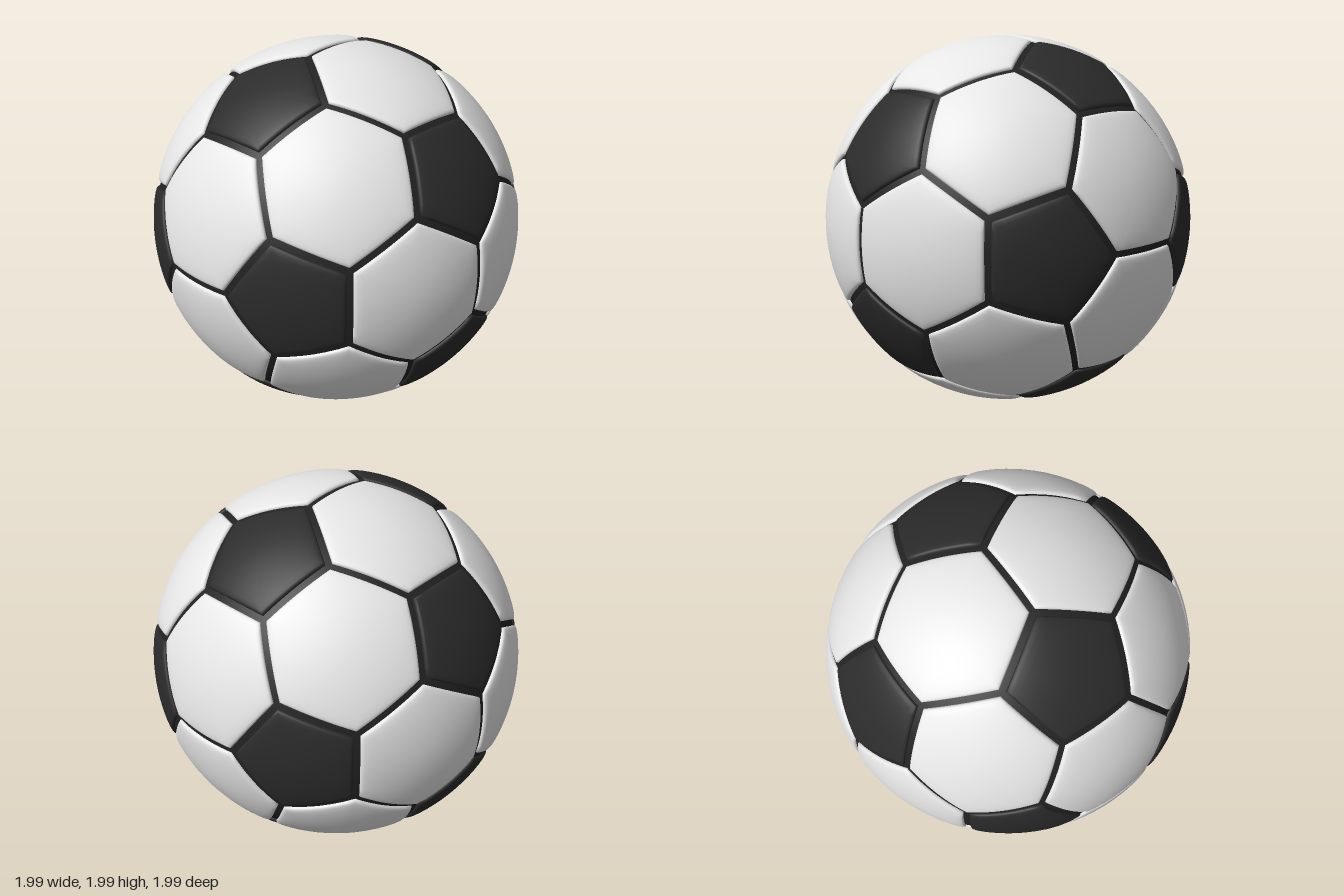
import * as THREE from 'three';

const SEAM_HALF = 0.019; // half the seam width
const STEPS = 8; // divisions along each panel edge
// panel cross-section from middle to rim: [fraction of the way out, radius]
const PROFILE = [[0.15, 1], [0.3, 1], [0.45, 1], [0.6, 1], [0.75, 1], [0.87, 0.999],
  [0.94, 0.997], [0.975, 0.994], [0.993, 0.989], [1, 0.982], [1.002, 0.965]];

// A curved, slightly padded panel over a polygon of directions
function panelGeometry(corners) {
  const n = corners.reduce((s, c) => s.add(c), new THREE.Vector3()).normalize();
  const u = corners[0].clone().addScaledVector(n, -corners[0].dot(n)).normalize();
  const v = n.clone().cross(u);
  const angle = (p) => Math.atan2(p.dot(v), p.dot(u));
  // flatten onto the tangent plane, counter-clockwise from outside
  const flat = [...corners].sort((a, b) => angle(a) - angle(b))
    .map((c) => c.clone().divideScalar(c.dot(n)).sub(n));
  const apothem = flat[0].clone().add(flat[1]).length() / 2;
  const inset = 1 - SEAM_HALF / apothem;
  const count = flat.length * STEPS;
  const pos = [n.x, n.y, n.z];
  const index = [];
  PROFILE.forEach(([t, r], ring) => {
    for (let i = 0; i < count; i++) {
      const k = Math.floor(i / STEPS);
      const p = flat[k].clone().lerp(flat[(k + 1) % flat.length], (i % STEPS) / STEPS);
      p.multiplyScalar(t * inset).add(n).normalize().multiplyScalar(r);
      pos.push(p.x, p.y, p.z);
      const j = (i + 1) % count;
      const a = 1 + ring * count;
      if (ring === 0) index.push(0, a + i, a + j);
      else {
        const b = a - count;
        index.push(b + i, a + i, a + j, b + i, a + j, b + j);
      }
    }
  });
  const g = new THREE.BufferGeometry();
  g.setAttribute('position', new THREE.Float32BufferAttribute(pos, 3));
  g.setIndex(index);
  g.computeVertexNormals();
  return g;
}

export function createModel() {
  const material = (name, color) => {
    const m = new THREE.MeshStandardMaterial({ color });
    m.name = name;
    return m;
  };
  const white = material('white', 0xe6e6e6);
  const black = material('black', 0x2b2b2b);
  const seam = material('seam', 0x222222);

  const ball = new THREE.Group();
  ball.name = 'ball';
  ball.position.y = 1;
  const add = (name, geometry, mat) => {
    const mesh = new THREE.Mesh(geometry, mat);
    mesh.name = name;
    ball.add(mesh);
  };

  // Dark core that shows through as the seams
  add('seamCore', new THREE.SphereGeometry(0.98, 96, 64), seam);

  // The twelve icosahedron corners are the middles of the black panels
  const phi = (1 + Math.sqrt(5)) / 2;
  const hubs = [];
  for (const s of [1, -1]) for (const t of [phi, -phi]) {
    hubs.push(new THREE.Vector3(0, t, s), new THREE.Vector3(s, 0, t), new THREE.Vector3(t, s, 0));
  }
  const near = (a, b) => a !== b && a.distanceTo(b) < 2.1;
  const third = (a, b) => a.clone().lerp(b, 1 / 3).normalize();

  // Black pentagons
  for (const a of hubs) {
    const corners = hubs.filter((b) => near(a, b)).map((b) => third(a, b));
    add('pentagonPanel', panelGeometry(corners), black);
  }

  // White hexagons, one for each icosahedron face
  hubs.forEach((a, i) => hubs.forEach((b, j) => hubs.forEach((c, k) => {
    if (!(i < j && j < k && near(a, b) && near(b, c) && near(a, c))) return;
    const corners = [third(a, b), third(b, a), third(b, c), third(c, b), third(c, a), third(a, c)];
    add('hexagonPanel', panelGeometry(corners), white);
  })));

  const model = new THREE.Group();
  model.add(ball);
  return model;
}
